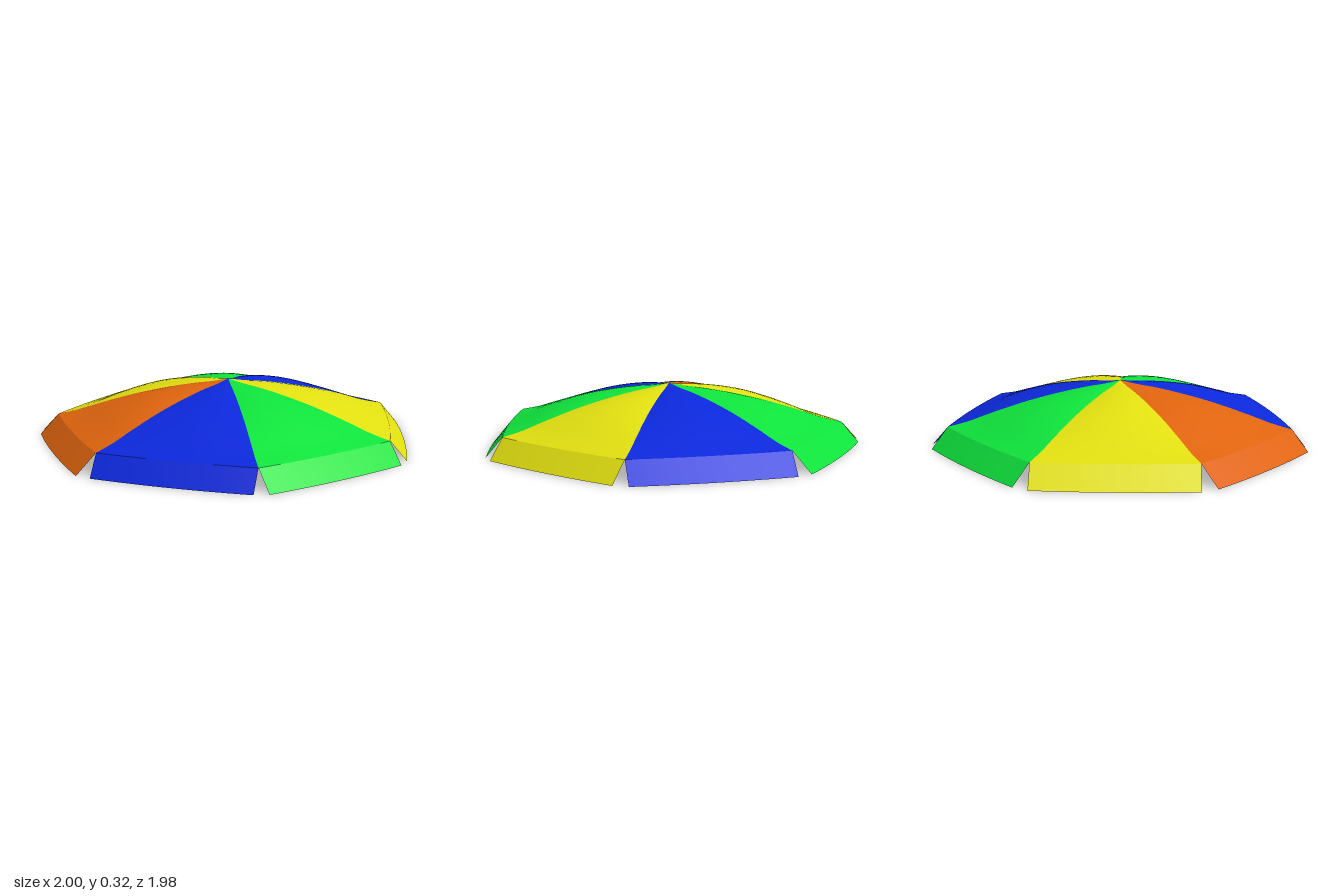
import * as THREE from 'three';

const RIM = 0.93, BOW = 0.018, PUFF = 0.021;
const YELLOW = 0xe2e010, GREEN = 0x0fe43c, BLUE = 0x0c28dc, ORANGE = 0xe0640e;

// Colour of each section and how far its flap reaches out
const SECTIONS = [
  [YELLOW, 0.088], [GREEN, 0.087], [BLUE, 0.08], [ORANGE, 0.102],
  [YELLOW, 0.107], [GREEN, 0.098], [BLUE, 0.092],
];
const STEP = (Math.PI * 2) / SECTIONS.length, START = THREE.MathUtils.degToRad(17);

// Rib profile: radius, height, with a pointed top and a slight flare at the rim
const profile = new THREE.SplineCurve([
  [0, 0.32], [0.08, 0.304], [0.2, 0.289], [0.35, 0.262], [0.52, 0.223],
  [0.7, 0.17], [0.82, 0.131], [RIM, 0.105],
].map(([r, y]) => new THREE.Vector2(r, y)));

// Smooth grid surface from point(u, s), with u outwards 0..1 and s across -1..1
function sheet(rows, cols, point) {
  const pos = [], index = [];
  for (let i = 0; i <= rows; i++)
    for (let j = 0; j <= cols; j++) pos.push(...point(i / rows, (j / cols) * 2 - 1));
  for (let i = 0; i < rows; i++)
    for (let j = 0; j < cols; j++) {
      const a = i * (cols + 1) + j, b = a + cols + 1;
      index.push(a, a + 1, b, a + 1, b + 1, b);
    }
  const geo = new THREE.BufferGeometry();
  geo.setAttribute('position', new THREE.Float32BufferAttribute(pos, 3));
  geo.setIndex(index);
  geo.computeVertexNormals();
  return geo;
}

// Panel running along +x between two ribs: bowed outwards, and puffed up between the ribs
function panelPoint(u, s) {
  const p = profile.getPoint(u), t = p.x / RIM, mid = 1 - s * s;
  return [
    p.x * Math.cos(STEP / 2) + BOW * t * mid,
    p.y + PUFF * Math.sin(Math.PI * t ** 1.3) * mid,
    p.x * Math.sin(STEP / 2) * s,
  ];
}

// Lining sagging under the panel, meeting it at the rim
function liningPoint(u, s) {
  const [x, y, z] = panelPoint(u, s);
  const t = profile.getPoint(u).x / RIM;
  return [x, y - 0.024 * (1 - t) - 0.016 * Math.sin(Math.PI * t), z];
}

export function createModel() {
  const canopy = new THREE.Group();
  canopy.name = 'umbrellaCanopy';
  canopy.position.set(0.018, 0, 0.035);

  const panelGeo = sheet(20, 10, panelPoint);
  const liningGeo = sheet(20, 10, liningPoint);

  SECTIONS.forEach(([color, reach], k) => {
    const section = new THREE.Group();
    section.name = 'canopySection' + (k + 1);
    section.rotation.y = -(START + STEP * (k + 0.5));
    const material = new THREE.MeshStandardMaterial({ color, side: THREE.DoubleSide });

    // Valance flap: the rim edge carried straight out and down
    const flapGeo = sheet(1, 10, (u, s) => {
      const [x, y, z] = panelPoint(1, s);
      return [x + reach * u, y * (1 - u), z];
    });

    for (const [name, geo] of [['panel', panelGeo], ['lining', liningGeo], ['flap', flapGeo]]) {
      const mesh = new THREE.Mesh(geo, material);
      mesh.name = name;
      section.add(mesh);
    }
    canopy.add(section);
  });

  const model = new THREE.Group();
  model.name = 'umbrella';
  model.add(canopy);
  return model;
}
